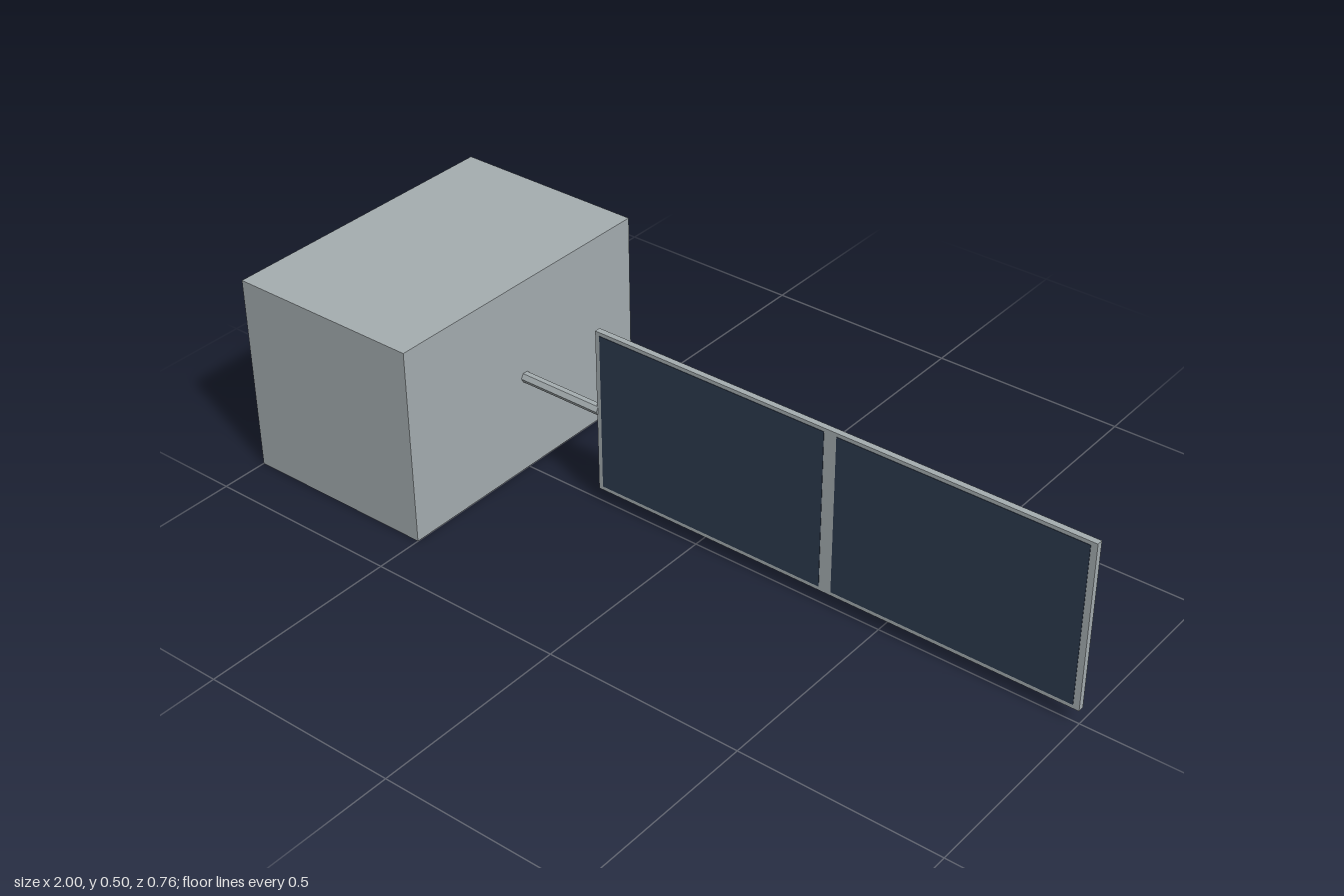
import * as THREE from 'three';

export function createModel() {
  const model = new THREE.Group();
  const metal = new THREE.MeshStandardMaterial({ name: 'bodyGrey', color: 0xa5adb0, flatShading: true });
  const cell = new THREE.MeshStandardMaterial({ name: 'cellBlue', color: 0x2c3a4e, flatShading: true });

  // Adds a box given its lower and upper corners
  function box(name, material, [x0, y0, z0], [x1, y1, z1]) {
    const mesh = new THREE.Mesh(new THREE.BoxGeometry(x1 - x0, y1 - y0, z1 - z0), material);
    mesh.position.set((x0 + x1) / 2, (y0 + y1) / 2, (z0 + z1) / 2);
    mesh.name = name;
    model.add(mesh);
  }

  // Main body
  box('body', metal, [-1, 0, -0.38], [-0.5, 0.5, 0.38]);

  // Six-sided boom with corners pointing front and back
  const boom = new THREE.Mesh(new THREE.CylinderGeometry(0.0135, 0.0135, 0.23, 6), metal);
  boom.name = 'boom';
  boom.rotation.z = Math.PI / 2;
  boom.position.set(-0.39, 0.25, 0);
  model.add(boom);

  // Panel backing, which shows as a frame around the cells
  box('panelFrame', metal, [-0.277, 0.038, -0.0075], [1, 0.462, 0.0075]);

  // Two dark cells on the front, either side of the centre bar
  for (const [name, x0, x1] of [['innerCell', -0.265, 0.345], ['outerCell', 0.377, 0.985]]) {
    box(name, cell, [x0, 0.048, 0.0065], [x1, 0.453, 0.0085]);
  }

  return model;
}
